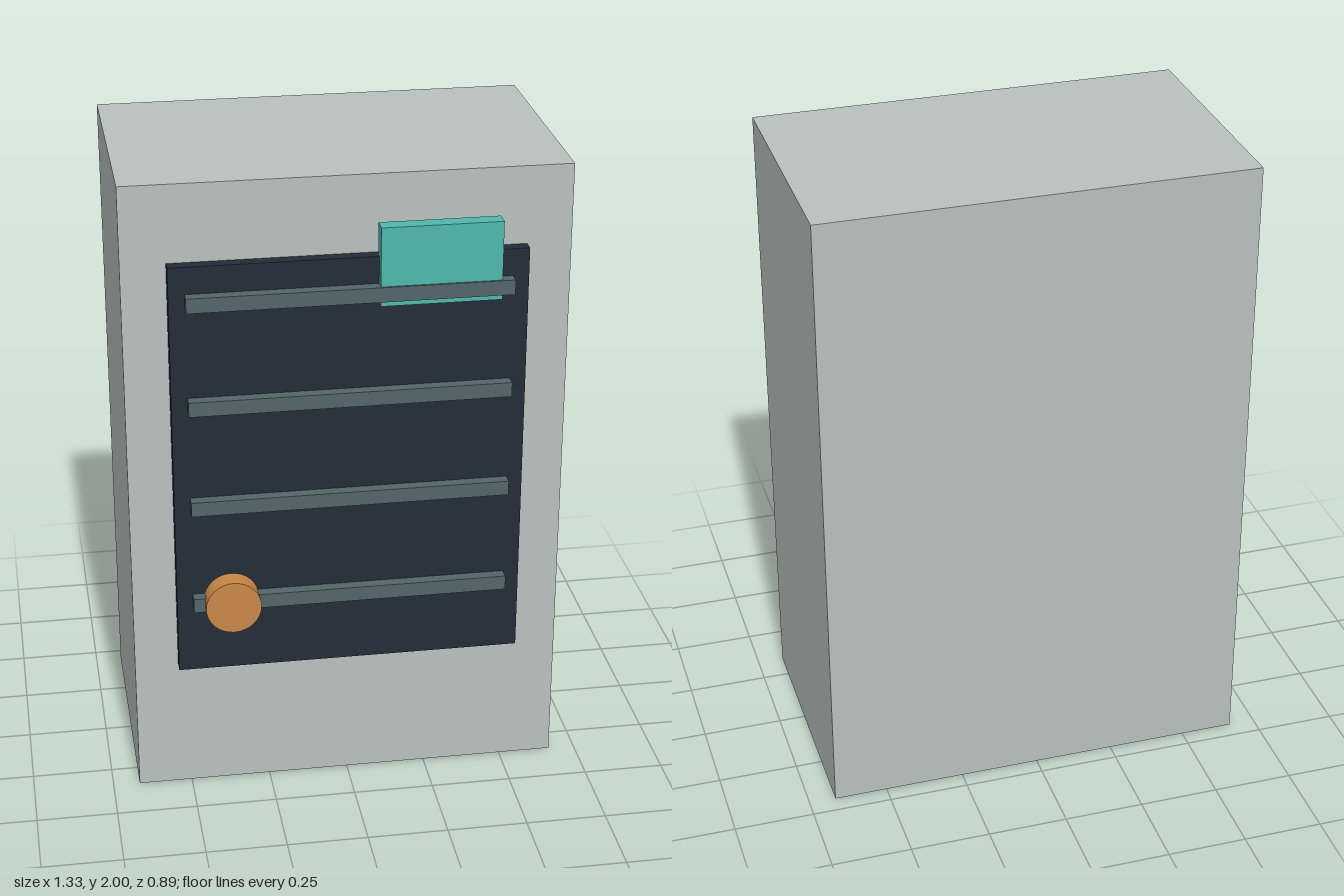
import * as THREE from 'three';

const material = (name, color) => {
  const m = new THREE.MeshStandardMaterial({ color });
  m.name = name;
  return m;
};

export function createModel() {
  const group = new THREE.Group();
  const shell = material('pale grey', 0xb8c1bd);
  const dark = material('dark slate', 0x232d37);
  const steel = material('steel grey', 0x53656b);
  const teal = material('teal', 0x4fb8ab);
  const copper = material('copper', 0xc98747);

  // Box given by its min and max corners
  const box = (name, mat, [x0, y0, z0], [x1, y1, z1]) => {
    const mesh = new THREE.Mesh(new THREE.BoxGeometry(x1 - x0, y1 - y0, z1 - z0), mat);
    mesh.position.set((x0 + x1) / 2, (y0 + y1) / 2, (z0 + z1) / 2);
    mesh.name = name;
    group.add(mesh);
  };

  // Cabinet and its front panel
  box('cabinet', shell, [-0.667, 0, -0.445], [0.667, 2, 0.342]);
  box('frontPanel', dark, [-0.533, 0.427, 0.33], [0.533, 1.76, 0.38]);

  // Four horizontal slats
  for (let i = 0; i < 4; i++) {
    const y = 0.669 + i * 0.328;
    box('slat' + (i + 1), steel, [-0.485, y - 0.023, 0.37], [0.485, y + 0.023, 0.416]);
  }

  // Display plate at the top corner
  box('displayPlate', teal, [0.085, 1.615, 0.361], [0.447, 1.858, 0.41]);

  // Round knob
  const knob = new THREE.Mesh(new THREE.CylinderGeometry(0.085, 0.085, 0.075, 32), copper);
  knob.rotation.x = Math.PI / 2;
  knob.position.set(-0.366, 0.669, 0.4075);
  knob.name = 'knob';
  group.add(knob);

  return group;
}
